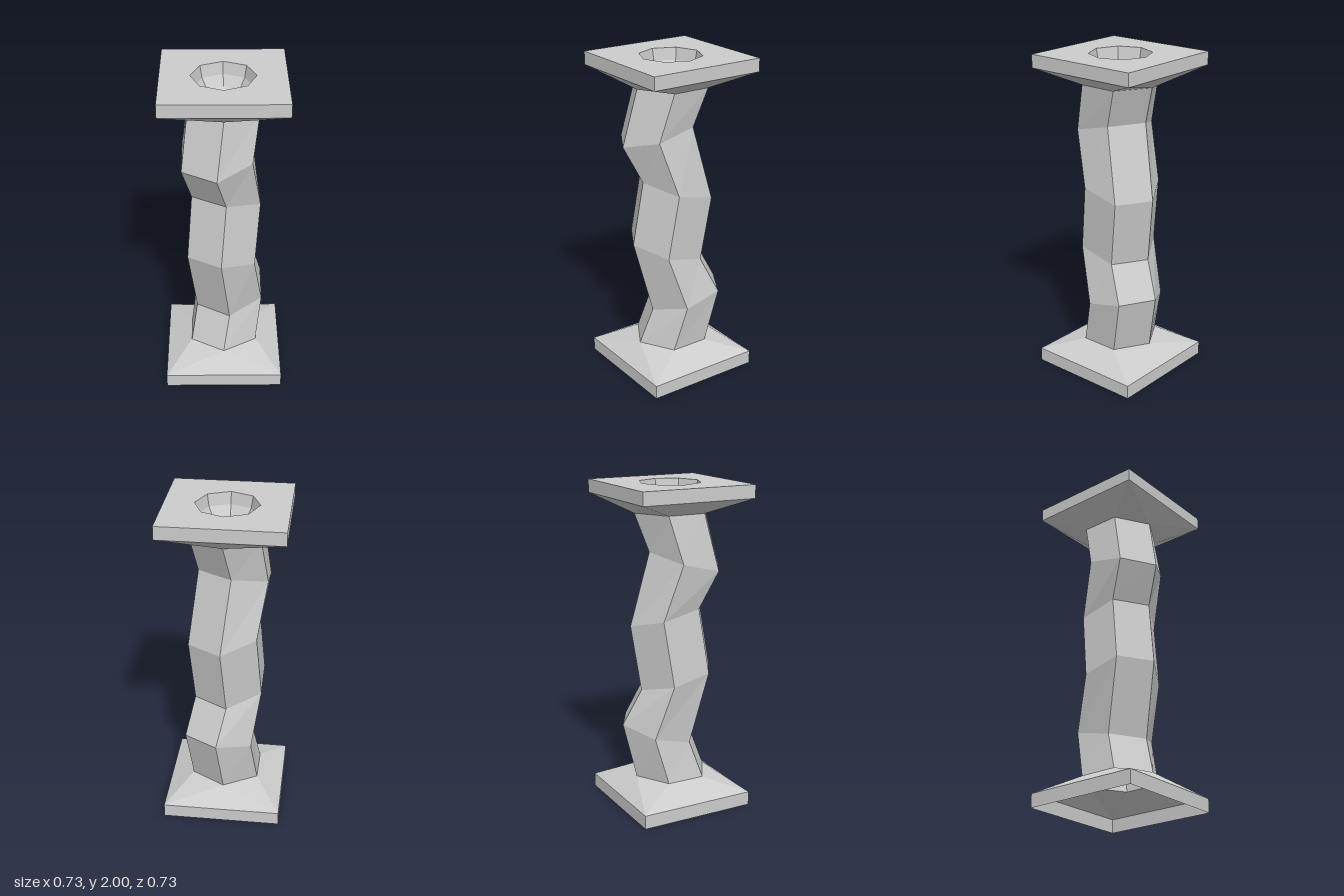
import * as THREE from 'three';

const HALF = 0.363;   // half width of the square plates
const HEX = 0.237;    // corner radius of the six-sided shaft
const BOWL = 0.188;   // radius of the bowl sunk into the top

const material = new THREE.MeshStandardMaterial({
  color: 0xcccccc, flatShading: true, side: THREE.DoubleSide,
});

function part(name, geometry) {
  const mesh = new THREE.Mesh(geometry, material);
  mesh.name = name;
  return mesh;
}

function fromTriangles(points) {
  const geometry = new THREE.BufferGeometry().setFromPoints(points);
  geometry.computeVertexNormals();
  return geometry;
}

// Tilted hexagon: corner 0 faces the front, then round through +x
function hexRing({ x = 0, y, z = 0, slopeX = 0, slopeZ = 0 }) {
  return Array.from({ length: 6 }, (_, k) => {
    const dx = HEX * Math.sin(k * Math.PI / 3);
    const dz = HEX * Math.cos(k * Math.PI / 3);
    return new THREE.Vector3(x + dx, y + slopeX * dx + slopeZ * dz, z + dz);
  });
}

// Zigzag shaft, open at both ends
function shaftGeometry() {
  const rings = [
    { y: 0.18 },
    { x: 0.037, y: 0.465, z: -0.073, slopeX: 0.125, slopeZ: -0.24 },
    { x: -0.015, y: 0.802, z: 0.03, slopeX: -0.13, slopeZ: 0.24 },
    { x: 0.015, y: 1.205, z: -0.025, slopeX: -0.13, slopeZ: 0.235 },
    { x: -0.039, y: 1.543, z: 0.077, slopeX: 0.127, slopeZ: -0.245 },
    { y: 1.83 },
  ].map(hexRing);
  const points = [];
  for (let i = 0; i < rings.length - 1; i++) {
    const low = rings[i], high = rings[i + 1];
    for (let k = 0; k < 6; k++) {
      const n = (k + 1) % 6;
      points.push(low[k], low[n], high[n], low[k], high[n], high[k]);
    }
  }
  return fromTriangles(points);
}

// Sloping skin between a square plate edge and the shaft's hexagon
function taperGeometry(squareY, hexY) {
  const hex = hexRing({ y: hexY });
  const corners = [[1, 1], [1, -1], [-1, -1], [-1, 1]]
    .map(([x, z]) => new THREE.Vector3(x * HALF, squareY, z * HALF));
  const all = [...corners, ...hex]; // 0-3 square, 4-9 hexagon
  const faces = [
    [3, 0, 4], [0, 5, 4], [0, 1, 6], [0, 6, 5], [1, 7, 6],
    [1, 2, 7], [2, 8, 7], [2, 3, 9], [2, 9, 8], [3, 4, 9],
  ];
  const upward = hexY > squareY;
  return fromTriangles(faces.flatMap(([a, b, c]) =>
    (upward ? [a, b, c] : [a, c, b]).map((i) => all[i])));
}

// Four upright walls of a plate
function plateWalls(bottom, top) {
  const geometry = new THREE.CylinderGeometry(
    HALF * Math.SQRT2, HALF * Math.SQRT2, top - bottom, 4, 1, true, Math.PI / 4);
  return geometry.translate(0, (bottom + top) / 2, 0);
}

// Square top with an octagonal opening
function topGeometry() {
  const shape = new THREE.Shape([[-1, -1], [1, -1], [1, 1], [-1, 1]]
    .map(([x, y]) => new THREE.Vector2(x * HALF, y * HALF)));
  shape.holes.push(new THREE.Path(Array.from({ length: 8 }, (_, k) =>
    new THREE.Vector2(BOWL * Math.cos(k * Math.PI / 4), -BOWL * Math.sin(k * Math.PI / 4)))));
  return new THREE.ShapeGeometry(shape).rotateX(-Math.PI / 2).translate(0, 2, 0);
}

export function createModel() {
  const model = new THREE.Group();
  model.name = 'twistedPillar';

  // Hollow base, open underneath
  const base = new THREE.Group();
  base.name = 'base';
  base.add(part('baseWalls', plateWalls(0, 0.085)), part('baseTaper', taperGeometry(0.085, 0.18)));

  // Capital with a faceted half-sphere bowl
  const capital = new THREE.Group();
  capital.name = 'capital';
  const bowl = new THREE.SphereGeometry(BOWL, 8, 4, 0, Math.PI * 2, Math.PI / 2, Math.PI / 2);
  capital.add(
    part('capitalWalls', plateWalls(1.92, 2)),
    part('capitalTaper', taperGeometry(1.92, 1.83)),
    part('capitalTop', topGeometry()),
    part('bowl', bowl.translate(0, 2, 0)),
  );

  model.add(base, part('shaft', shaftGeometry()), capital);
  return model;
}
